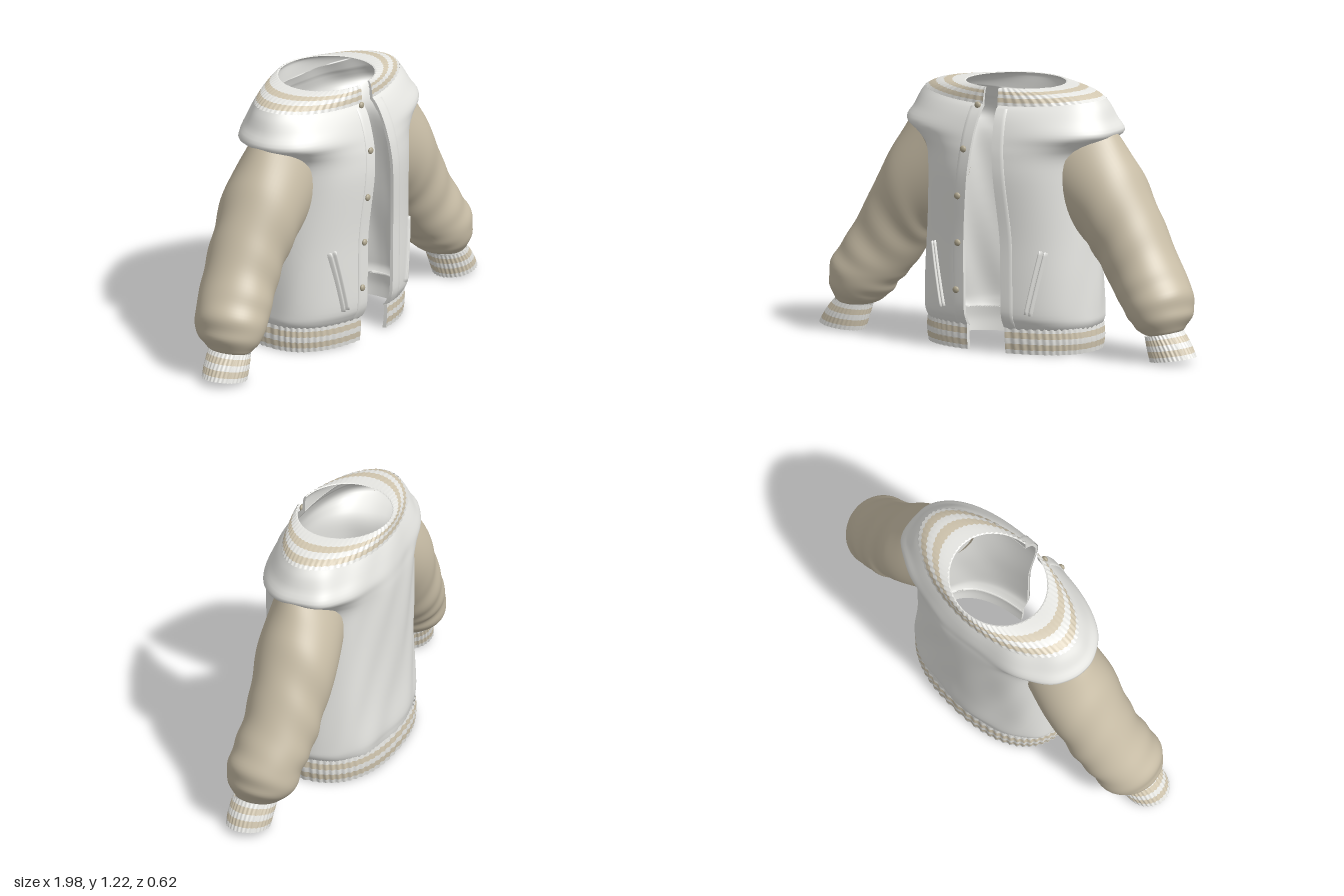
import * as THREE from 'three';

const mat = (name, color) => {
  const m = new THREE.MeshStandardMaterial({ color, side: THREE.DoubleSide });
  m.name = name;
  return m;
};
const V = (x, y, z) => new THREE.Vector3(x, y, z);
const lerp = THREE.MathUtils.lerp;

// Resample rows of numbers with a smooth spline, column by column
function smooth(keys, n) {
  const out = [];
  for (let i = 0; i <= n; i++) {
    const t = (i / n) * (keys.length - 1);
    const a = Math.min(Math.floor(t), keys.length - 2), f = t - a;
    const at = j => keys[Math.max(0, Math.min(keys.length - 1, j))];
    out.push(keys[0].map((_, c) => {
      const [p, q, r, s] = [at(a - 1)[c], at(a)[c], at(a + 1)[c], at(a + 2)[c]];
      const m0 = (r - p) / 2, m1 = (s - q) / 2;
      return q + f * (m0 + f * (3 * (r - q) - 2 * m0 - m1 + f * (2 * (q - r) + m0 + m1)));
    }));
  }
  return out;
}

// Skin a grid of points
function skin(rows, closed = false) {
  const w = rows[0].length, pos = [], idx = [];
  rows.forEach(r => r.forEach(p => pos.push(p.x, p.y, p.z)));
  for (let i = 0; i < rows.length - 1; i++)
    for (let j = 0; j < (closed ? w : w - 1); j++) {
      const k = (j + 1) % w;
      const a = i * w + j, b = i * w + k, c = a + w, d = b + w;
      idx.push(a, c, b, b, c, d);
    }
  const g = new THREE.BufferGeometry();
  g.setAttribute('position', new THREE.Float32BufferAttribute(pos, 3));
  g.setIndex(idx);
  g.computeVertexNormals();
  return g;
}

// Torso sections: y, half width, front depth, back depth, opening edge, shoulder lift, squareness
const BODY = smooth([
  [0.12, 0.415, 0.245, 0.29, 0.1, 0, 2.4],
  [0.15, 0.43, 0.265, 0.295, 0.1, 0, 2.4],
  [0.2, 0.43, 0.283, 0.3, 0.1, 0, 2.4],
  [0.35, 0.425, 0.287, 0.292, 0.1, 0, 2.4],
  [0.55, 0.415, 0.29, 0.29, 0.098, 0, 2.4],
  [0.8, 0.405, 0.305, 0.295, 0.075, 0, 2.4],
  [0.92, 0.415, 0.298, 0.295, 0.062, 0, 2.4],
  [0.98, 0.47, 0.286, 0.29, 0.056, 0, 2.4],
  [1.03, 0.54, 0.272, 0.285, 0.052, 0, 2.4],
  [1.09, 0.51, 0.25, 0.273, 0.046, 0, 2.2],
  [1.13, 0.485, 0.228, 0.262, 0.042, 0.015, 2.05],
  [1.15, 0.46, 0.21, 0.255, 0.04, 0.03, 2],
], 44);
const HEM = smooth([
  [0.01, 0.418, 0.243, 0.295, 0.1, 0, 2.4],
  [0.07, 0.425, 0.25, 0.3, 0.1, 0, 2.4],
  [0.13, 0.42, 0.25, 0.295, 0.1, 0, 2.4],
], 10);
const COLLAR = smooth([
  [1.15, 0.46, 0.21, 0.255, 0.04, 0.03, 2],
  [1.172, 0.43, 0.208, 0.254, 0.039, 0.025, 2],
  [1.19, 0.39, 0.206, 0.253, 0.038, 0.022, 2],
  [1.205, 0.345, 0.204, 0.252, 0.037, 0.016, 2],
  [1.218, 0.295, 0.201, 0.25, 0.036, 0.008, 2],
  [1.23, 0.24, 0.195, 0.243, 0.035, -0.002, 2],
], 15);
const CZ = -0.015, COLS = 240;

// One open section, running from the left front edge round the back to the right front edge
function section([y, rx, zf, zb, edge, lift, n], { inset = 0, drop = 0, rib = 0, fold = 0 } = {}) {
  const start = Math.acos(Math.pow(edge / rx, n / 2)), pts = [];
  const pw = v => Math.sign(v) * Math.pow(Math.abs(v), 2 / n);
  for (let j = 0; j <= COLS; j++) {
    const th = lerp(start, -Math.PI - start, j / COLS), s = Math.sin(th), c = Math.cos(th);
    const grow = rib * Math.sin(j * Math.PI / 2 + 0.8) - inset
      + fold * (1 - s) / 2 * Math.sin(9 * th + 5 * y) * Math.sin(8 * y + 2 * th);
    const z = s > 0 ? zf - CZ + grow : zb + CZ + grow;
    pts.push(V((rx + grow) * pw(c), y + lift * c * c - drop, CZ + z * pw(s)));
  }
  return pts;
}

// Height of the front panel's surface
function frontPoint(x, y, off = 0) {
  const i = Math.max(1, BODY.findIndex(k => k[0] >= y)), a = BODY[i - 1], b = BODY[i];
  const t = (y - a[0]) / (b[0] - a[0]), k = a.map((v, c) => lerp(v, b[c], t));
  const z = (k[2] - CZ) * Math.pow(1 - Math.pow(Math.abs(x) / k[1], k[6]), 1 / k[6]);
  return { p: V(x, y, CZ + z + off), edge: k[4] };
}

// Sleeve ring: outer point, inner point, front z, back z, and a bow of the middle
function sleeveRing([ox, oy, ix, iy, zf, zb, bx, by], side, n, grow) {
  const pts = [], cz = (zf + zb) / 2, hz = (zf - zb) / 2;
  for (let j = 0; j < n; j++) {
    const th = (j / n) * Math.PI * 2, c = Math.cos(th), s = Math.sin(th), g = 1 + grow(th, j);
    pts.push(V(side * ((ox + ix) / 2 + c * g * (ox - ix) / 2 + bx * s * s),
      (oy + iy) / 2 + c * g * (oy - iy) / 2 + by * s * s, cz + hz * g * s));
  }
  return pts;
}

export function createModel() {
  const white = mat('white cloth', 0xebebe7);
  const tan = mat('tan sleeve cloth', 0xc9bea7);
  const cream = mat('cream stripe', 0xd2c7b0);
  const snap = mat('snap metal', 0xb0a78f);
  const root = new THREE.Group();
  root.name = 'jacket';
  const add = (name, geo, m, parent = root) => {
    const mesh = new THREE.Mesh(geo, m);
    mesh.name = name;
    parent.add(mesh);
    return mesh;
  };
  // Striped knit: each band is a slice of the rows
  const knit = (name, rows, cuts, closed) => {
    const g = new THREE.Group();
    g.name = name;
    root.add(g);
    for (let i = 0; i < cuts.length - 1; i++)
      add(i % 2 ? 'creamBand' : 'whiteBand', skin(rows.slice(cuts[i], cuts[i + 1] + 1), closed), i % 2 ? cream : white, g);
  };

  // Torso, hem and collar
  const bodyRows = BODY.map(k => section(k, { fold: 0.007 }));
  const hemRows = HEM.map(k => section(k, { rib: 0.004 }));
  const collarRows = COLLAR.map(k => section(k, { rib: 0.003 }));
  add('torso', skin(bodyRows), white);
  knit('hem', hemRows, [0, 2, 4, 6, 8, 10]);
  knit('collar', collarRows, [0, 2, 5, 8, 11, 15]);

  // Lining, and the rims joining it to the outside
  const outer = [...hemRows, ...bodyRows, ...collarRows];
  const inner = [
    ...HEM.map(k => section(k, { inset: 0.014 })),
    ...BODY.map(k => section(k, { inset: 0.014, fold: 0.007, drop: k[0] > 1.1 ? 0.008 : 0 })),
    ...COLLAR.map((k, i) => section(k, { inset: 0.012 * (1 - i / 30), drop: 0.01 * (1 - i / 20) })),
  ];
  add('lining', skin(inner), white);
  const last = outer.length - 1;
  add('hemRim', skin([outer[0], inner[0]]), white);
  add('collarRim', skin([outer[last], inner[last]]), white);
  for (const col of [0, COLS])
    add('frontEdge', skin([outer.map(r => r[col]), inner.map(r => r[col])]), white);

  for (const side of [1, -1]) {
    const name = side > 0 ? 'left' : 'right';
    // Sleeve with soft folds at elbow and wrist
    const rings = smooth([
      [0.535, 1.03, 0.42, 0.52, 0.165, -0.18, -0.135, 0.075],
      [0.635, 0.875, 0.44, 0.485, 0.175, -0.207, -0.03, 0.03],
      [0.74, 0.68, 0.49, 0.41, 0.16, -0.192, 0, 0],
      [0.84, 0.49, 0.56, 0.31, 0.17, -0.18, 0, 0],
      [0.925, 0.355, 0.62, 0.24, 0.188, -0.155, 0, 0],
      [0.945, 0.245, 0.67, 0.178, 0.182, -0.14, 0, 0],
      [0.915, 0.168, 0.72, 0.14, 0.15, -0.085, 0, 0],
      [0.895, 0.145, 0.76, 0.13, 0.13, -0.05, 0, 0],
    ], 56);
    add(name + 'Sleeve', skin(rings.map((k, i) => {
      const t = i / 56, amp = 0.028 * Math.sin(Math.PI * t);
      return sleeveRing(k, side, 64, th => amp * Math.sin(t * 42 + 1.6 * Math.sin(th + 1)) * (0.55 + 0.45 * Math.cos(2 * th + t * 9)));
    }), true), tan);

    // Ribbed cuff, turned in at the opening
    const cuff = smooth([
      [0.91, 0.155, 0.745, 0.125, 0.145, -0.06, 0, 0],
      [0.955, 0.1, 0.758, 0.07, 0.152, -0.055, 0, 0],
      [0.99, 0.04, 0.775, 0.01, 0.153, -0.047, 0, 0],
    ], 10);
    const rib = (th, j) => 0.025 * Math.sin(j * Math.PI / 2 + 0.8);
    const cuffRows = cuff.map(k => sleeveRing(k, side, 128, rib));
    knit(name + 'Cuff', cuffRows, [0, 2, 4, 6, 8, 10], true);
    const inside = cuff.map(k => sleeveRing(k, side, 128, () => -0.12)).reverse();
    add(name + 'CuffLining', skin([cuffRows[10], ...inside], true), white);

    // Front placket
    const placket = [];
    for (let i = 0; i <= 40; i++) {
      const y = lerp(0.135, 1.14, i / 40), e = frontPoint(0, y).edge;
      placket.push([0, 0.02, 0.04, 0.055, 0.057].map((d, j) => frontPoint(side * (e + d), y, j < 4 ? 0.005 : -0.002).p));
    }
    add(name + 'Placket', skin(placket), white);

    // Slanted pocket welt: two rounded lips
    const welt = [];
    for (let i = 0; i <= 20; i++) {
      const t = Math.max(0, Math.min(1, (i - 1) / 18)), row = [];
      for (let j = 0; j <= 12; j++) {
        const end = i === 0 || i === 20;
        const x = lerp(0.228, 0.293, t) + (j / 12 - 0.5) * 0.04;
        const y = lerp(0.2, 0.495, t) - (j / 12 - 0.5) * 0.012;
        row.push(frontPoint(side * x, y, end ? -0.004 : -0.003 + 0.016 * Math.abs(Math.sin(j / 6 * Math.PI))).p);
      }
      welt.push(row);
    }
    add(name + 'PocketWelt', skin(welt), white);
  }

  // Snaps down the right front edge
  for (const [x, y] of [[-0.06, 1.145], [-0.092, 0.95], [-0.12, 0.73], [-0.127, 0.51], [-0.138, 0.29]]) {
    const b = add('snap', new THREE.SphereGeometry(0.016, 16, 10), snap);
    b.scale.z = 0.6;
    b.position.copy(frontPoint(x, y, 0.009).p);
  }
  return root;
}
